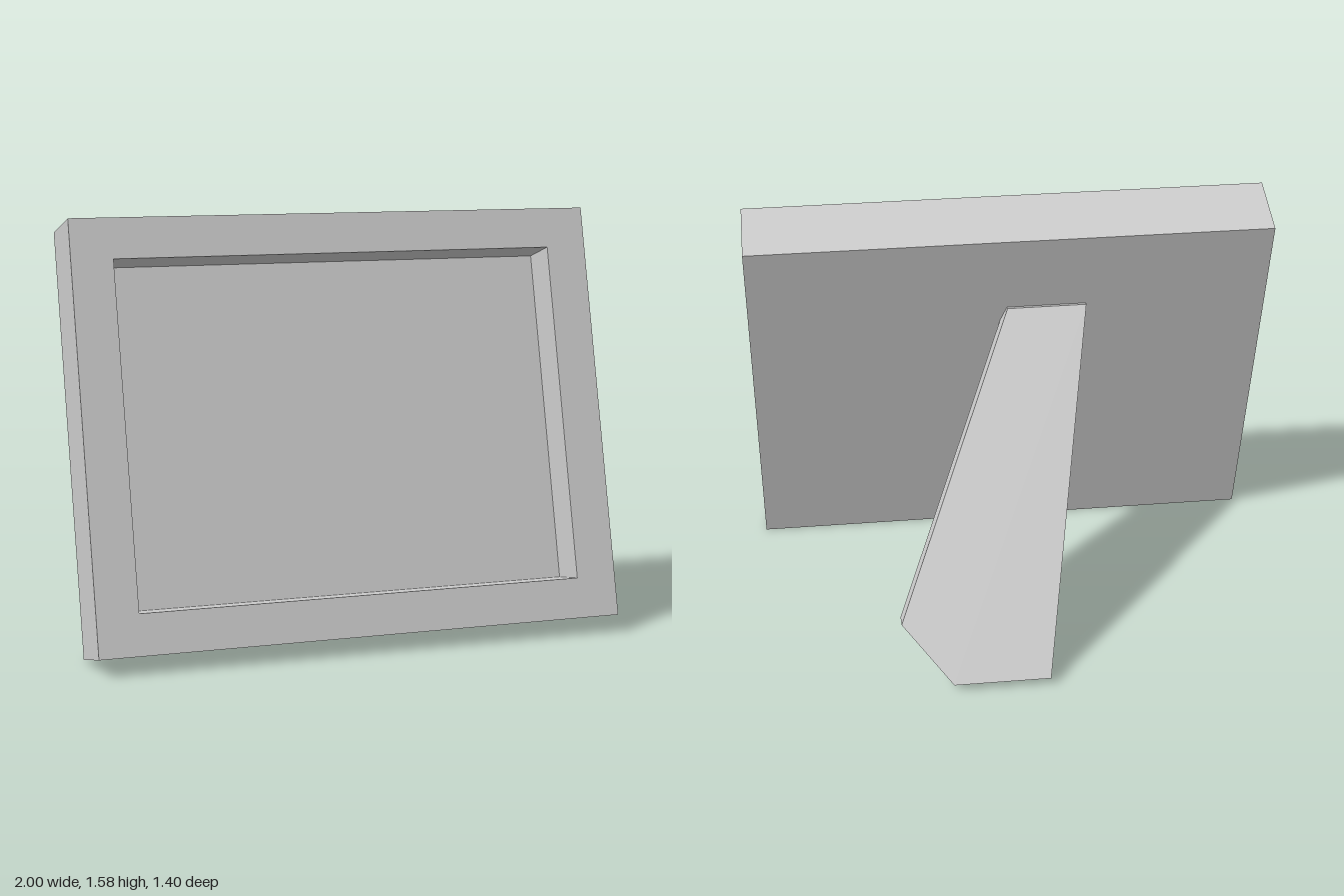
import * as THREE from 'three';

const material = new THREE.MeshStandardMaterial({ color: 0xcccccc, flatShading: true });

// Rectangle corners, counter-clockwise from the front
const rect = (halfWidth, bottom, top, z) => [
  [-halfWidth, bottom, z], [halfWidth, bottom, z], [halfWidth, top, z], [-halfWidth, top, z],
];

// Closed solid that joins successive four-cornered rings and caps both ends
function ringSolid(rings) {
  const positions = [];
  const quad = (a, b, c, d) => positions.push(...a, ...b, ...c, ...a, ...c, ...d);
  for (let r = 0; r < rings.length - 1; r++) {
    for (let i = 0; i < 4; i++) {
      const j = (i + 1) % 4;
      quad(rings[r][i], rings[r][j], rings[r + 1][j], rings[r + 1][i]);
    }
  }
  quad(...[...rings[0]].reverse());
  quad(...rings[rings.length - 1]);
  const geometry = new THREE.BufferGeometry();
  geometry.setAttribute('position', new THREE.Float32BufferAttribute(positions, 3));
  geometry.computeVertexNormals();
  return geometry;
}

function addMesh(group, name, geometry) {
  const mesh = new THREE.Mesh(geometry, material);
  mesh.name = name;
  group.add(mesh);
  return mesh;
}

export function createModel() {
  const group = new THREE.Group();
  group.name = 'pictureFrame';

  // Thick frame with a slightly tapered picture recess, leaning back on its rear bottom edge
  const height = 1.562, thickness = 0.265, recess = 0.138, taper = 0.009;
  const frame = addMesh(group, 'frame', ringSolid([
    rect(1, 0, height, 0),
    rect(1, 0, height, thickness),
    rect(0.845, 0.15, 1.412, thickness),
    rect(0.845 - taper, 0.15 + taper, 1.412 - taper, thickness - recess),
  ]));
  frame.position.z = 0.445;
  frame.rotation.x = -0.258;

  // Easel leg: plan outline (x, z) sheared onto its slope, with one clipped foot corner
  const outline = [[-0.295, 0.11], [-0.065, -0.703], [0.305, -0.703], [0.49, -0.565], [0.01, 0.11]];
  const shape = new THREE.Shape(outline.map(([x, z]) => new THREE.Vector2(x, z)));
  const leg = new THREE.ExtrudeGeometry(shape, { depth: 1, bevelEnabled: false });
  const slope = new THREE.Matrix4().makeBasis(
    new THREE.Vector3(1, 0, 0),
    new THREE.Vector3(0, 1.43, 1),
    new THREE.Vector3(0, -0.02, 0.075),
  ).setPosition(0, 1.035, 0);
  leg.applyMatrix4(slope);
  addMesh(group, 'easelLeg', leg);

  return group;
}
